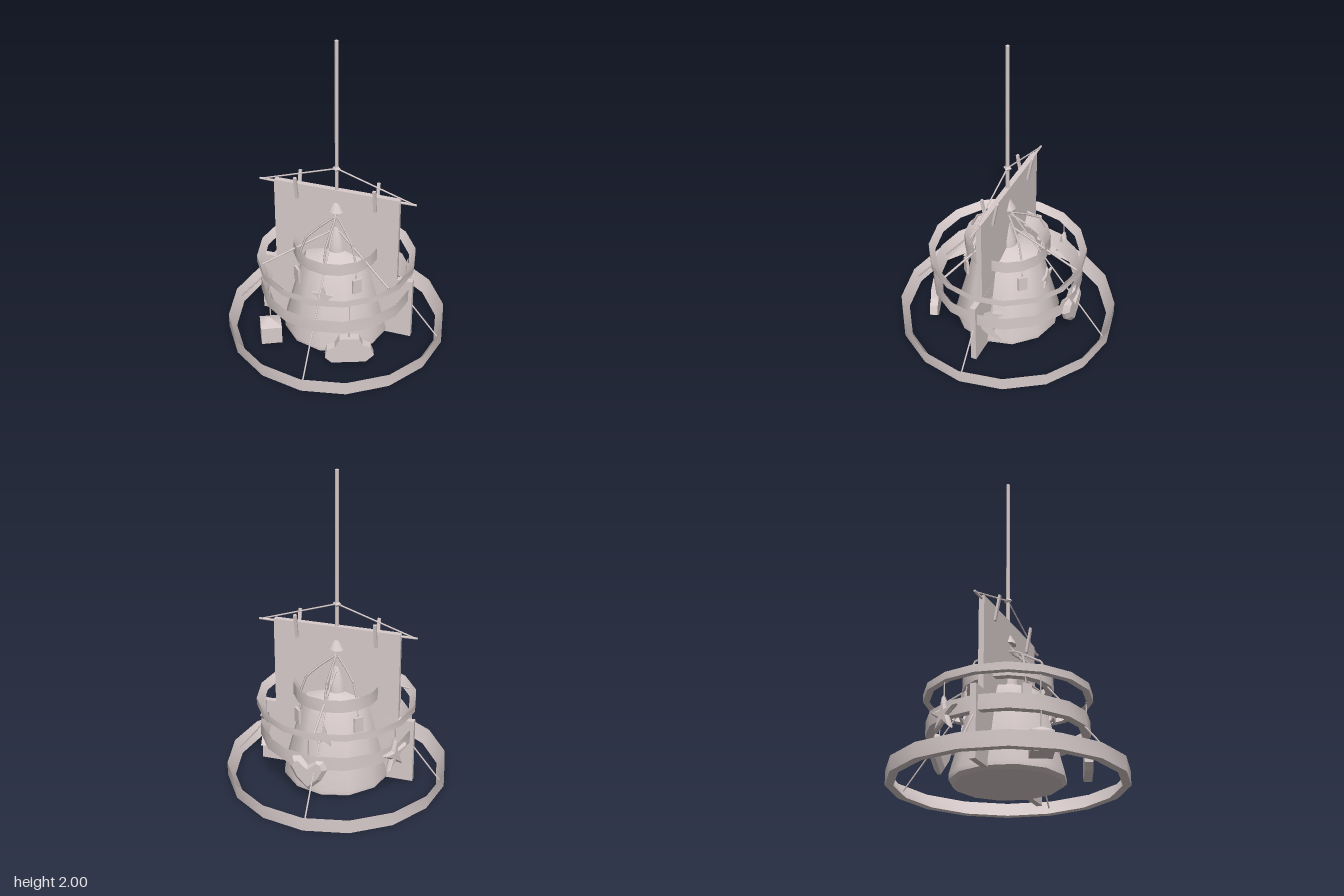
import * as THREE from 'three';
import { toCreasedNormals } from 'three/addons/utils/BufferGeometryUtils.js';

export function createModel() {
  const model = new THREE.Group();
  const clay = new THREE.MeshStandardMaterial({ color: 0xd8cbcb });
  clay.name = 'pinkish clay';
  const V = (x, y, z) => new THREE.Vector3(x, y, z);

  function add(name, geometry, x = 0, y = 0, z = 0) {
    const mesh = new THREE.Mesh(geometry, clay);
    mesh.name = name;
    mesh.position.set(x, y, z);
    model.add(mesh);
    return mesh;
  }
  const lathe = (name, pts, sides) => add(name, toCreasedNormals(
    new THREE.LatheGeometry(pts.map(p => new THREE.Vector2(...p)), sides), 0.6));
  // Straight bar between two points
  function bar(name, a, b, r, sides = 6, r2 = r) {
    const mesh = add(name, new THREE.CylinderGeometry(r2, r, a.distanceTo(b), sides));
    mesh.position.copy(a).add(b).multiplyScalar(0.5);
    mesh.quaternion.setFromUnitVectors(V(0, 1, 0), b.clone().sub(a).normalize());
  }
  // Hoop with an upright outside and an inside sloping from the top edge
  const hoop = (name, r, y0, y1, t) => lathe(name, [[r, y0], [r, y1], [r - t, y0], [r, y0]], 16);
  // Charm with its face turned about the upright axis; bevel rounds it towards the rim
  function charm(name, shape, x, y, z, turn, depth = 0.04, bevel = 0) {
    const g = new THREE.ExtrudeGeometry(shape, { depth, bevelEnabled: bevel > 0,
      bevelThickness: bevel, bevelSize: bevel, bevelOffset: -bevel, bevelSegments: 1 });
    g.translate(0, 0, -depth / 2);
    add(name, g, x, y, z).rotation.y = turn;
  }
  const polygon = pts => new THREE.Shape(pts.map(p => new THREE.Vector2(...p)));
  const star = (r, inner) => polygon(Array.from({ length: 10 }, (_, i) => {
    const a = Math.PI / 2 + i * Math.PI / 5, q = i % 2 ? inner : r;
    return [q * Math.cos(a), q * Math.sin(a)];
  }));

  // Hoops from the ground up
  hoop('groundHoop', 0.7, 0, 0.09, 0.05);
  hoop('middleHoop', 0.48, 0.29, 0.38, 0.05);
  hoop('charmHoop', 0.5, 0.505, 0.55, 0.04);
  hoop('topHoop', 0.27, 0.565, 0.65, 0.05);

  // Central bell body with a finial, and the cap above it
  lathe('bell', [[0, 0], [0.315, 0], [0.34, 0.02], [0.34, 0.05], [0.22, 0.5], [0.2, 0.54],
    [0.06, 0.585], [0.055, 0.64], [0.02, 0.75], [0, 0.76]], 12);
  add('capCone', new THREE.CylinderGeometry(0.02, 0.053, 0.06, 8), 0, 0.9, 0);
  bar('capStem', V(0, 0.74, 0), V(0, 0.88, 0), 0.018);

  // Struts to the ground hoop, with small tags hung between them
  for (let i = 0; i < 4; i++) {
    const a = i * Math.PI / 2, d = a + Math.PI / 4;
    bar('groundStrut', V(0, 0.87, 0), V(0.67 * Math.sin(a), 0.04, 0.67 * Math.cos(a)), 0.005);
    const tag = add('tag', new THREE.BoxGeometry(0.06, 0.1, 0.015), 0.275 * Math.sin(d), 0.47, 0.275 * Math.cos(d));
    tag.rotation.y = d;
    bar('tagString', tag.position, V(0.255 * Math.sin(d), 0.58, 0.255 * Math.cos(d)), 0.004, 5);
  }
  // Struts to the charm hoop
  for (let i = 0; i < 3; i++) {
    const a = Math.PI + i * Math.PI * 2 / 3;
    bar('charmHoopStrut', V(0, 0.735, 0), V(0.47 * Math.sin(a), 0.53, 0.47 * Math.cos(a)), 0.007);
  }
  // Bent arms carrying the top hoop
  for (let i = 0; i < 8; i++) {
    const s = Math.sin(i * Math.PI / 4), c = Math.cos(i * Math.PI / 4);
    const path = [[0.02, 0.82], [0.12, 0.78], [0.21, 0.73], [0.25, 0.64]].map(([r, y]) => V(r * s, y, r * c));
    for (let k = 0; k < 3; k++) bar('bentArm', path[k], path[k + 1], 0.007, 4);
  }

  // Pole, hub and hanging cords
  bar('pole', V(0, 0.98, 0), V(0, 2, 0), 0.012, 8);
  add('hub', new THREE.OctahedronGeometry(0.028), 0, 1.165, 0);
  for (const s of [-1, 1]) {
    bar('cord', V(0, 1.165, 0), V(0.48 * s, 1.005, 0), 0.005);
    bar('crossRod', V(0, 1.003, 0), V(0.5 * s, 1.003, 0), 0.016, 8, 0.007);
    // Clothes pegs gripping the cloth
    for (const t of [-1, 1]) {
      const leg = add('peg', new THREE.BoxGeometry(0.02, 0.165, 0.014), 0.25 * s, 1, 0.036 * t);
      leg.rotation.x = 0.18 * t;
    }
  }

  // Cloth and the wider board at its foot
  add('cloth', new THREE.BoxGeometry(0.8, 1.01, 0.034), 0, 0.515, 0);
  add('footBoard', new THREE.BoxGeometry(1, 0.43, 0.036), 0, 0.225, 0);

  // Little house
  add('house', new THREE.BoxGeometry(0.13, 0.12, 0.13), -0.33, 0.1, 0.33).rotation.y = 0.45;
  add('houseRoof', new THREE.ConeGeometry(0.092, 0.04, 4), -0.33, 0.18, 0.33).rotation.y = 0.45 + Math.PI / 4;

  // Cloud
  charm('cloud', polygon([[-0.11, -0.1], [0.1, -0.1], [0.15, -0.05], [0.13, 0.01], [0.08, 0.03],
    [0.06, 0.08], [-0.06, 0.08], [-0.09, 0.02], [-0.14, 0], [-0.15, -0.06]]), 0.215, 0.165, 0.41, 0.36, 0.05);

  // Crescent moon
  charm('moon', polygon([[0.08, 0.11], [0.01, 0.1], [-0.05, 0.06], [-0.075, 0], [-0.05, -0.06],
    [0.01, -0.1], [0.08, -0.11], [0.02, -0.05], [0.005, 0], [0.02, 0.05]]), 0.445, 0.31, -0.1, Math.PI / 2 + 0.15, 0.03);

  // Heart
  charm('heart', polygon([[0, -0.12], [0.08, -0.04], [0.12, 0.04], [0.1, 0.1], [0.05, 0.115], [0, 0.07],
    [-0.05, 0.115], [-0.1, 0.1], [-0.12, 0.04], [-0.08, -0.04]]), 0.04, 0.25, -0.455, Math.PI, 0.02, 0.025);

  // Large hanging star, and small stars in front of and behind the bell
  charm('star', star(0.115, 0.045), -0.425, 0.31, -0.21, Math.PI + 1.15, 0.01, 0.014);
  for (const s of [-1, 1]) charm('smallStar', star(0.075, 0.032), 0, 0.4, 0.275 * s, s > 0 ? 0 : Math.PI, 0.015);

  // Strings from the charm hoop
  for (const [x, z, y] of [[-0.33, 0.33, 0.19], [0.215, 0.41, 0.24], [0.435, -0.1, 0.4],
    [0.04, -0.46, 0.31], [-0.425, -0.21, 0.41]])
    bar('string', V(x, y, z), V(x, 0.52, z), 0.004, 5);

  return model;
}
